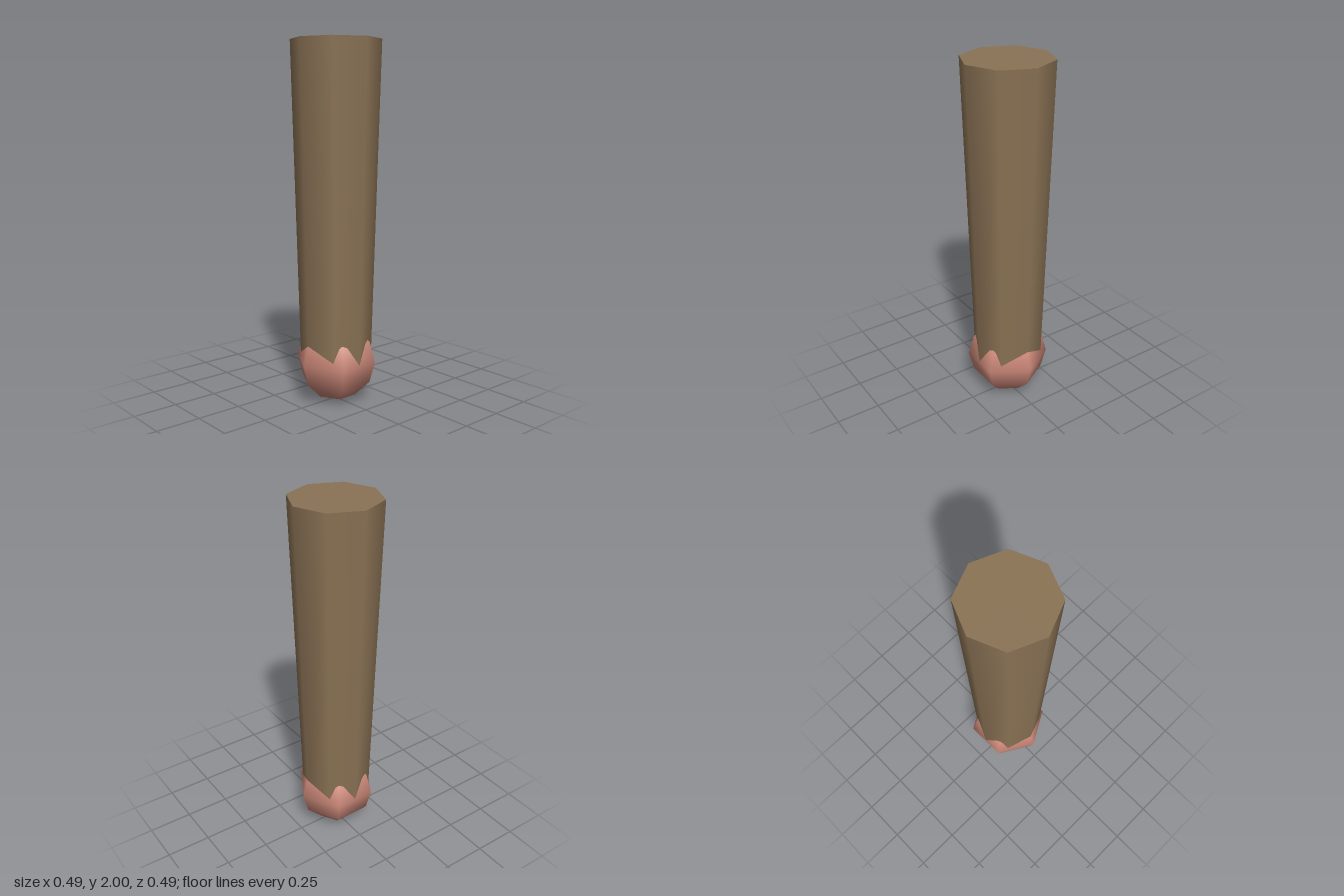
import * as THREE from 'three';

export function createModel() {
  const group = new THREE.Group();
  const brown = new THREE.MeshStandardMaterial({ name: 'brown', color: 0x8b7355 });
  const pink = new THREE.MeshStandardMaterial({ name: 'pink', color: 0xcc8879 });

  // Eight-sided tapered limb with smooth sides and flat caps
  const bottom = 0.231, top = 2;
  const limb = new THREE.Mesh(
    new THREE.CylinderGeometry(0.247, 0.198, top - bottom, 8), brown);
  limb.name = 'limb';
  limb.position.y = (top + bottom) / 2;

  // Low-poly rounded end, with corners on the z axis
  const tip = new THREE.Mesh(new THREE.SphereGeometry(0.231, 6, 6), pink);
  tip.name = 'roundedTip';
  tip.position.y = bottom;
  tip.rotation.y = Math.PI / 2;

  group.add(limb, tip);
  return group;
}
